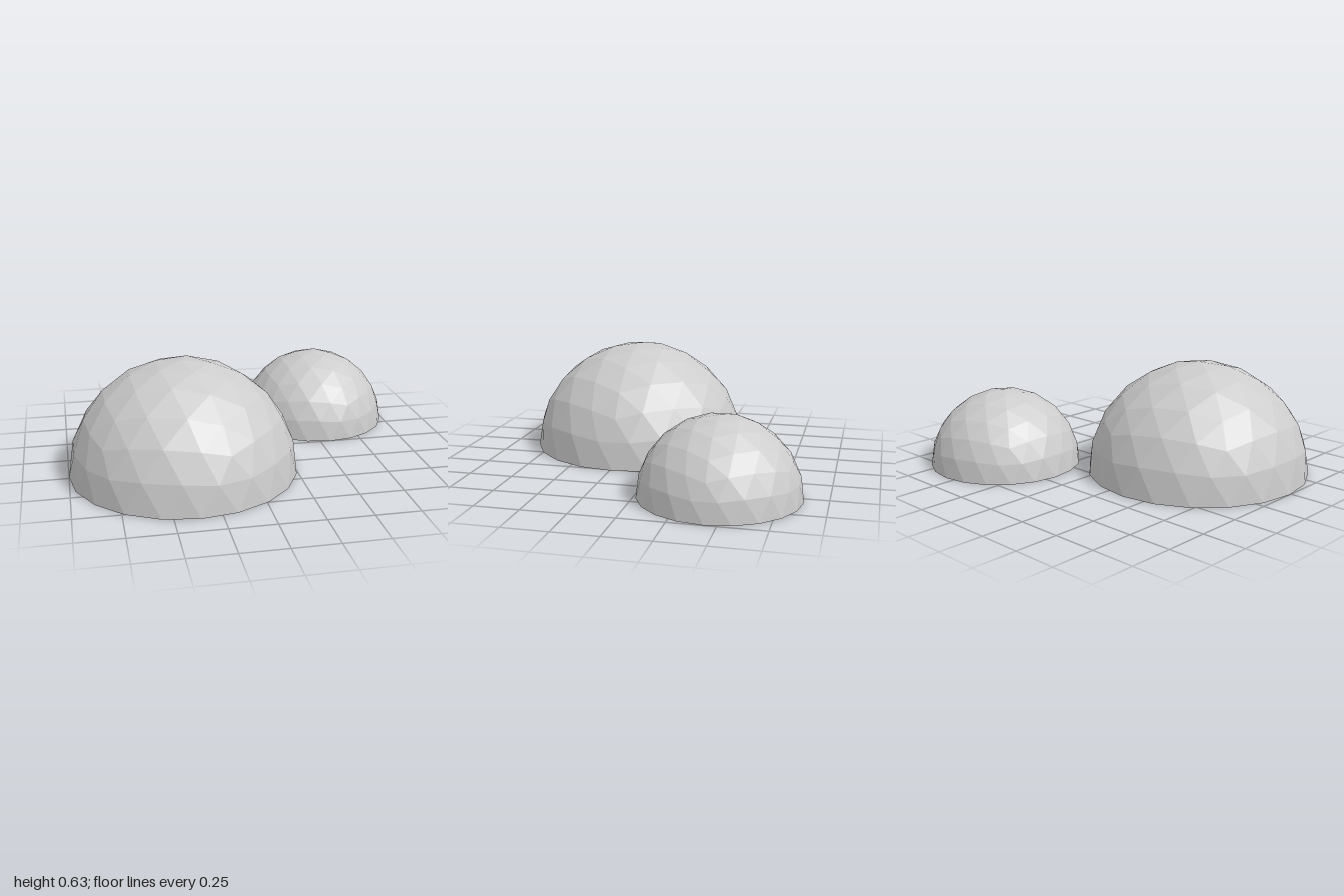
import * as THREE from 'three';

const panelMaterial = new THREE.MeshStandardMaterial({ color: 0xcccccc, side: THREE.DoubleSide, flatShading: true });
panelMaterial.name = 'light grey panels';

// Open shell: upper half of a four-frequency geodesic sphere with a five-fold hub at the top
function makeDome(name, radius, x, z) {
  const sphere = new THREE.IcosahedronGeometry(radius, 3);
  sphere.rotateZ(-Math.atan2(1, (1 + Math.sqrt(5)) / 2));
  const pos = sphere.attributes.position;
  const points = [];
  for (let i = 0; i < pos.count; i += 3) {
    const corners = [0, 1, 2].map((k) => new THREE.Vector3().fromBufferAttribute(pos, i + k));
    if (corners[0].y + corners[1].y + corners[2].y < 1e-3) continue;
    // Rim corners rest exactly on the ground
    corners.forEach((c) => { if (Math.abs(c.y) < 1e-4) c.y = 0; });
    points.push(...corners);
  }
  const shell = new THREE.BufferGeometry().setFromPoints(points);
  shell.computeVertexNormals();
  const dome = new THREE.Mesh(shell, panelMaterial);
  dome.name = name;
  dome.position.set(x, 0, z);
  return dome;
}

export function createModel() {
  const model = new THREE.Group();
  model.name = 'geodesicDomes';
  model.add(
    makeDome('largeDome', 0.635, -0.365, 0.235),
    makeDome('smallDome', 0.438, 0.56, -0.435),
  );
  return model;
}
